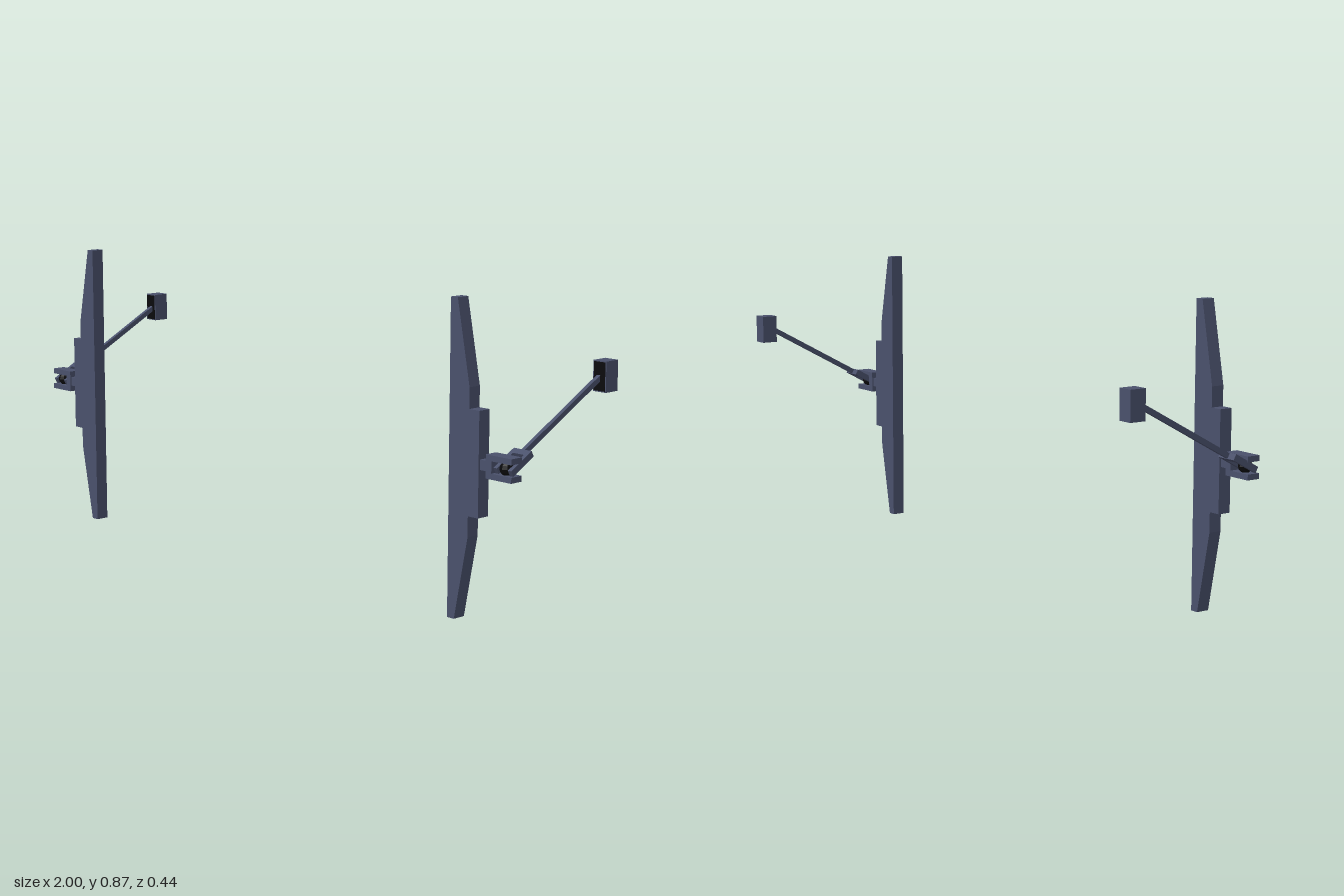
import * as THREE from 'three';

const slate = new THREE.MeshStandardMaterial({ color: 0x4a516c, flatShading: true });
const black = new THREE.MeshStandardMaterial({ color: 0x0a0a0c, flatShading: true });

const JOINT = { x: 0.967, y: 0.437, z: 0.2 };
const TILT = Math.atan2(0.2, 0.37);

function part(parent, name, geometry, x, y, z, material = slate) {
  const mesh = new THREE.Mesh(geometry, material);
  mesh.name = name;
  mesh.position.set(x, y, z);
  parent.add(mesh);
  return mesh;
}
const box = (w, h, d) => new THREE.BoxGeometry(w, h, d);

// One complete side; s = 1 is the left, s = -1 the right
function createSide(s) {
  const side = new THREE.Group();
  side.name = s > 0 ? 'leftAssembly' : 'rightAssembly';

  // Tall tapered panel with a stepped outer edge
  const half = [[0.803, 0.437], [0.849, 0.203], [0.849, 0.145], [0.885, 0.145]];
  const outline = [
    [0.778, 0.437],
    ...half,
    ...half.slice().reverse().map(([x, y]) => [x, -y]),
    [0.778, -0.437],
  ].map(([x, y]) => new THREE.Vector2(s * x, y + JOINT.y));
  const panel = new THREE.ExtrudeGeometry(new THREE.Shape(outline), { depth: 0.04, bevelEnabled: false });
  part(side, 'panel', panel, 0, 0, 0.18);

  // Fixed yoke: stub, bridge and two horizontal plates
  part(side, 'yokeStub', box(0.04, 0.028, 0.03), s * 0.9, JOINT.y, JOINT.z);
  part(side, 'fixedYokeBridge', box(0.02, 0.065, 0.04), s * 0.92, JOINT.y, JOINT.z);
  for (const k of [-1, 1]) {
    part(side, 'fixedYokePlate', box(0.09, 0.016, 0.04), s * 0.955, JOINT.y + k * 0.0245, JOINT.z);
  }

  // Faceted ball at the pivot
  part(side, 'pivotBall', new THREE.SphereGeometry(0.02, 8, 6), s * JOINT.x, JOINT.y, JOINT.z, black);

  // Tilted yoke and rod, rising towards the back
  const arm = new THREE.Group();
  arm.name = 'tiltedArm';
  arm.position.set(s * JOINT.x, JOINT.y, JOINT.z);
  arm.rotation.x = TILT;
  for (const k of [-1, 1]) {
    part(arm, 'tiltedYokeProng', box(0.012, 0.018, 0.085), k * 0.025, 0, -0.0265);
  }
  part(arm, 'tiltedYokeBridge', box(0.062, 0.018, 0.02), 0, 0, -0.064);
  part(arm, 'rod', box(0.012, 0.015, 0.37), 0, 0, -0.245);
  side.add(arm);

  // Upright block at the end of the rod, dark on its front
  part(side, 'endBlock', box(0.045, 0.086, 0.05), s * 0.97, 0.64, -0.192);
  part(side, 'endBlockFace', box(0.039, 0.08, 0.002), s * 0.97, 0.64, -0.167, black);
  return side;
}

export function createModel() {
  const model = new THREE.Group();
  model.name = 'pairedPanels';
  for (const s of [1, -1]) model.add(createSide(s));
  return model;
}
